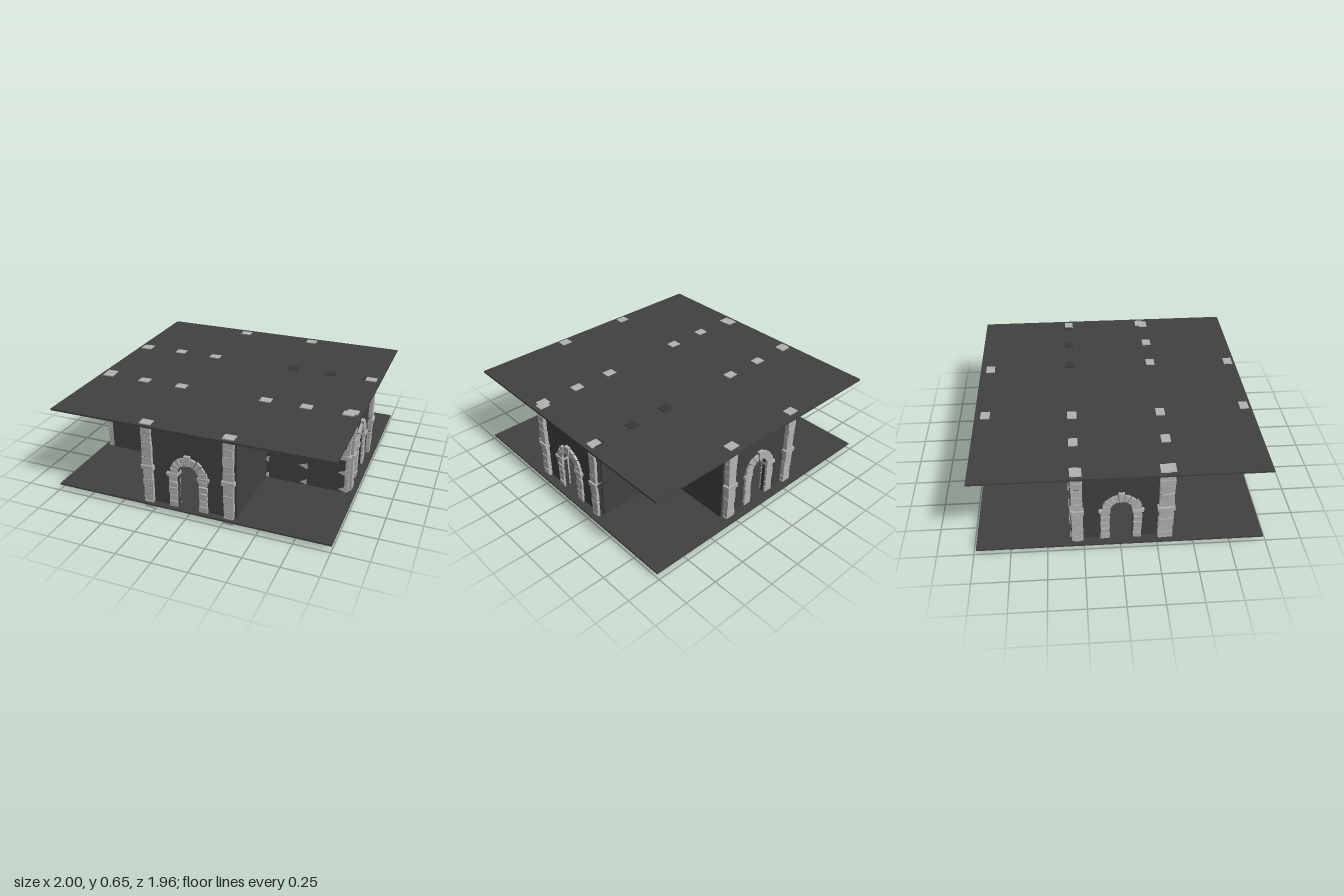
import * as THREE from 'three';

export function createModel() {
  const model = new THREE.Group();
  model.name = 'crossHall';
  const mat = (name, color) => {
    const m = new THREE.MeshStandardMaterial({ color });
    m.name = name;
    return m;
  };
  const wallMat = mat('charcoal', 0x414141);
  const stoneMat = mat('paleStone', 0xb2b2b2);
  const darkMat = mat('darkStone', 0x383838);

  // Small seeded generator for irregular masonry
  let seed = 7;
  const rand = () => ((seed = (seed * 16807) % 2147483647) / 2147483647);
  const jit = a => (rand() - 0.5) * 2 * a;

  function add(parent, name, geo, material, x = 0, y = 0, z = 0) {
    const mesh = new THREE.Mesh(geo, material);
    mesh.name = name;
    mesh.position.set(x, y, z);
    parent.add(mesh);
    return mesh;
  }
  function group(parent, name) {
    const g = new THREE.Group();
    g.name = name;
    parent.add(g);
    return g;
  }
  const box = (w, h, d) => new THREE.BoxGeometry(w, h, d);

  // Box whose eight corners are each nudged a little
  function roughBox(w, h, d, a = 0.003) {
    const g = box(w, h, d), p = g.attributes.position;
    const shift = Array.from({ length: 8 }, () => [jit(a), jit(a), jit(a)]);
    for (let i = 0; i < p.count; i++) {
      const [x, y, z] = [p.getX(i), p.getY(i), p.getZ(i)];
      const s = shift[(x > 0 ? 1 : 0) + (y > 0 ? 2 : 0) + (z > 0 ? 4 : 0)];
      p.setXYZ(i, x + s[0], y + s[1], z + s[2]);
    }
    g.computeVertexNormals();
    return g;
  }
  function poly(points, depth) {
    const s = new THREE.Shape(points.map(([x, y]) => new THREE.Vector2(x, y)));
    return new THREE.ExtrudeGeometry(s, { depth, bevelEnabled: false });
  }

  // Floor and ceiling slabs
  add(model, 'floorSlab', box(2, 0.012, 1.964), wallMat, 0, 0.04, 0);
  add(model, 'ceilingSlab', box(2, 0.014, 1.964), wallMat, 0, 0.634, 0);

  // Stone column: stacked blocks on a mortar core, with a band at mid height
  function column(x, z, material = stoneMat) {
    const g = group(model, 'column');
    g.position.set(x, 0, z);
    add(g, 'mortarCore', box(0.06, 0.63, 0.052), wallMat, 0, 0.317, 0);
    const levels = [0, 0.055, 0.1, 0.165, 0.225, 0.3, 0.335, 0.395, 0.45, 0.515, 0.57, 0.632];
    for (let i = 0; i < levels.length - 1; i++) {
      const h = levels[i + 1] - levels[i], band = i === 5;
      const w = band ? 0.09 : 0.07 + jit(0.004), d = band ? 0.078 : 0.062 + jit(0.003);
      add(g, band ? 'bandStone' : 'columnStone', roughBox(w, h - 0.004, d, 0.002), material,
        band ? 0 : jit(0.002), levels[i] + h / 2, 0);
    }
    add(g, 'topStone', roughBox(0.08, 0.02, 0.064, 0.001), material, 0, 0.637, 0);
  }
  for (const x of [-0.93, -0.63, -0.33]) {
    column(x, -0.3);
    column(x, 0.325);
  }
  for (const x of [0.32, 0.615, 0.91]) {
    column(x, -0.3, darkMat);
    column(x, 0.325);
  }
  for (const s of [-1, 1]) {
    column(s * 0.293, 0.93);
    column(s * 0.293, -0.907);
    column(0.93, s * 0.295);
    column(-0.935, s * 0.285);
  }

  // Long side walls of the four arms
  const wallH = 0.59, wallY = 0.335;
  for (const s of [-1, 1]) {
    add(model, 'armWall', box(0.03, wallH, 0.595), wallMat, s * 0.33, wallY, 0.6375);
    add(model, 'armWall', box(0.03, wallH, 0.57), wallMat, s * 0.33, wallY, -0.61);
    for (const z of [0.345, -0.325]) {
      add(model, 'armWall', box(0.6, wallH, 0.03), wallMat, s * 0.62, wallY, z);
    }
  }

  // End wall with an arched opening and its stone surround, facing local +z
  function archedEnd(halfWidth) {
    const g = group(model, 'archedEnd');
    const r = 0.075, spring = 0.302;
    const s = new THREE.Shape();
    s.moveTo(-halfWidth, 0.04);
    s.lineTo(-r, 0.04);
    s.lineTo(-r, spring);
    s.absarc(0, spring, r, Math.PI, 0, true);
    s.lineTo(r, 0.04);
    s.lineTo(halfWidth, 0.04);
    s.lineTo(halfWidth, 0.63);
    s.lineTo(-halfWidth, 0.63);
    s.closePath();
    add(g, 'endWall', new THREE.ExtrudeGeometry(s, { depth: 0.024, bevelEnabled: false, curveSegments: 16 }),
      wallMat, 0, 0, -0.012);
    // Jamb stones and imposts
    const levels = [0.03, 0.09, 0.14, 0.195, 0.245, 0.285];
    for (const side of [-1, 1]) {
      for (let i = 0; i < 5; i++) {
        const h = levels[i + 1] - levels[i];
        add(g, 'jambStone', roughBox(0.058 + jit(0.004), h - 0.006, 0.056), stoneMat,
          side * 0.109, levels[i] + h / 2, 0);
      }
      add(g, 'impostStone', roughBox(0.078, 0.022, 0.068), stoneMat, side * 0.112, 0.298, 0);
    }
    // Wedge stones round the arch, the middle one a taller keystone
    const n = 9;
    for (let i = 0; i < n; i++) {
      const key = i === 4, gap = 0.025;
      const a0 = (i / n) * Math.PI + gap, a1 = ((i + 1) / n) * Math.PI - gap;
      const ro = key ? 0.15 : 0.135 + jit(0.006), ri = 0.077;
      const pt = (rad, a) => [Math.cos(a) * rad, spring + 0.005 + Math.sin(a) * rad];
      const d = key ? 0.068 : 0.056 + jit(0.004);
      add(g, key ? 'keystone' : 'archStone',
        poly([pt(ri, a0), pt(ro, a0), pt(ro, a1), pt(ri, a1)], d), stoneMat, 0, 0, -d / 2);
    }
    return g;
  }
  archedEnd(0.315).position.z = 0.925;
  const back = archedEnd(0.315);
  back.rotation.y = Math.PI;
  back.position.z = -0.895;
  for (const s of [-1, 1]) {
    const side = archedEnd(0.33);
    side.rotation.y = s * Math.PI / 2;
    side.position.set(s * 0.925, 0, 0.005);
  }

  // Corners of the embedded columns breaking through the wall faces
  function breakouts(x, z, facing) {
    const g = group(model, 'exposedStones');
    g.position.set(x, 0, z);
    if (facing < 0) g.rotation.y = Math.PI;
    const shapes = [
      [[-0.03, 0.51], [0.03, 0.488], [0.03, 0.545]],
      [[-0.03, 0.2], [0.03, 0.178], [0.03, 0.222]],
      [[-0.02, 0.065], [0.03, 0.05], [0.03, 0.092]],
      [[-0.03, 0.335], [0.03, 0.335], [0.03, 0.395], [-0.012, 0.375]],
    ];
    for (const pts of shapes) add(g, 'exposedStone', poly(pts, 0.008), stoneMat);
  }
  for (const x of [-0.63, -0.345, 0.62, 0.335, 0.9]) breakouts(x, 0.357, 1);
  for (const x of [-0.63, -0.345, -0.9]) breakouts(x, -0.337, -1);

  return model;
}
